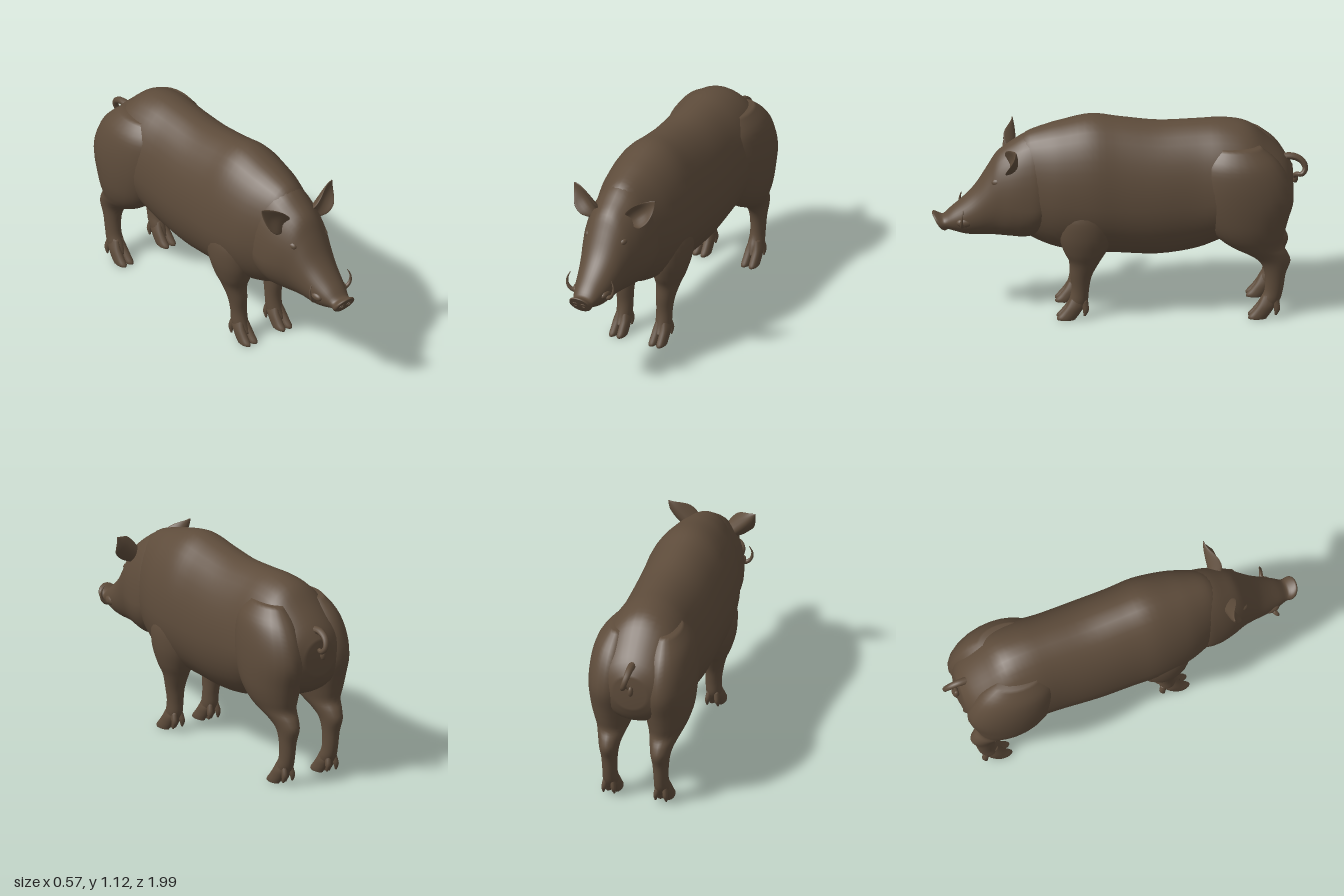
import * as THREE from 'three';

const hide = new THREE.MeshStandardMaterial({ color: 0x5e4c3b });
hide.name = 'brown hide';

// Catmull-Rom interpolation of every column in a table of cross-sections
function smoothRows(rows, steps) {
  const out = [];
  for (let i = 0; i < rows.length - 1; i++) {
    const [a, b, c, d] = [-1, 0, 1, 2].map(k => rows[Math.min(Math.max(i + k, 0), rows.length - 1)]);
    for (let s = 0; s < steps; s++) {
      const t = s / steps;
      out.push(b.map((_, j) => 0.5 * (2 * b[j] + (c[j] - a[j]) * t
        + (2 * a[j] - 5 * b[j] + 4 * c[j] - d[j]) * t * t
        + (3 * b[j] - a[j] - 3 * c[j] + d[j]) * t * t * t)));
    }
  }
  out.push(rows[rows.length - 1]);
  return out;
}

// Closed skin over cross-sections; point(row, angle) returns [x, y, z]
function loft(table, sides, point, steps = 4) {
  const rows = smoothRows(table, steps), pos = [], idx = [];
  for (const row of rows)
    for (let j = 0; j < sides; j++) pos.push(...point(row, (j / sides) * Math.PI * 2));
  const ring = (i, j) => i * sides + (j % sides);
  const last = rows.length - 1;
  for (let i = 0; i < last; i++)
    for (let j = 0; j < sides; j++)
      idx.push(ring(i, j), ring(i, j + 1), ring(i + 1, j), ring(i + 1, j), ring(i, j + 1), ring(i + 1, j + 1));
  for (const end of [0, last]) {
    const c = [0, 0, 0], n = pos.length / 3;
    for (let j = 0; j < sides; j++)
      for (let k = 0; k < 3; k++) c[k] += pos[ring(end, j) * 3 + k] / sides;
    pos.push(...c);
    for (let j = 0; j < sides; j++)
      idx.push(n, ...(end ? [ring(end, j), ring(end, j + 1)] : [ring(end, j + 1), ring(end, j)]));
  }
  // Turn the skin outward if its signed volume is negative
  const v = i => new THREE.Vector3().fromArray(pos, i * 3);
  let volume = 0;
  for (let i = 0; i < idx.length; i += 3) volume += v(idx[i]).dot(v(idx[i + 1]).cross(v(idx[i + 2])));
  if (volume < 0) idx.reverse();
  const geo = new THREE.BufferGeometry();
  geo.setAttribute('position', new THREE.Float32BufferAttribute(pos, 3));
  geo.setIndex(idx);
  geo.computeVertexNormals();
  return geo;
}

// Tube that narrows to its end
function taperedTube(points, r, endScale) {
  const curve = new THREE.CatmullRomCurve3(points.map(p => new THREE.Vector3(...p)));
  const geo = new THREE.TubeGeometry(curve, 28, r, 10);
  const p = geo.attributes.position, v = new THREE.Vector3();
  for (let i = 0; i < p.count; i++) {
    const t = Math.floor(i / 11) / 28;
    v.fromBufferAttribute(p, i).lerp(curve.getPointAt(t), (1 - endScale) * t);
    p.setXYZ(i, v.x, v.y, v.z);
  }
  geo.computeVertexNormals();
  return geo;
}

// Section across z: [z, bottom, top, halfWidth, widestHeight, tilt]
const trunkPoint = ([z, bottom, top, w, mid, tilt], a) => {
  const s = Math.sin(a), y = mid + s * (s > 0 ? top - mid : mid - bottom);
  return [w * Math.cos(a), y, z + tilt * (y - mid)];
};
// Section across y: [y, x, z, radiusX, radiusZ]
const limbPoint = side => ([y, x, z, rx, rz], a) => [side * (x + rx * Math.cos(a)), y, z + rz * Math.sin(a)];

export function createModel() {
  const model = new THREE.Group();
  const add = (name, geo, parent = model) => {
    const mesh = new THREE.Mesh(geo, hide);
    mesh.name = name;
    parent.add(mesh);
    return mesh;
  };
  const blob = (name, p, scale) => {
    const mesh = add(name, new THREE.SphereGeometry(1, 20, 14));
    mesh.position.set(...p);
    mesh.scale.set(...scale);
    return mesh;
  };

  add('body', loft([
    [0.56, 0.50, 0.96, 0.11, 0.72, 0], [0.50, 0.45, 1.025, 0.16, 0.72, 0],
    [0.40, 0.40, 1.063, 0.205, 0.70, 0], [0.30, 0.37, 1.09, 0.235, 0.69, 0],
    [0.15, 0.35, 1.12, 0.254, 0.68, 0], [0.00, 0.34, 1.10, 0.250, 0.67, 0],
    [-0.20, 0.33, 1.075, 0.250, 0.67, 0], [-0.40, 0.36, 1.08, 0.245, 0.68, 0],
    [-0.55, 0.42, 1.083, 0.255, 0.70, 0], [-0.68, 0.45, 1.055, 0.252, 0.70, 0],
    [-0.78, 0.48, 0.97, 0.235, 0.70, 0], [-0.87, 0.53, 0.88, 0.185, 0.70, 0],
    [-0.915, 0.62, 0.81, 0.09, 0.71, 0],
  ], 40, trunkPoint));

  add('head', loft([
    [0.32, 0.54, 0.97, 0.15, 0.68, 0], [0.42, 0.465, 1.035, 0.192, 0.66, 0],
    [0.50, 0.44, 1.02, 0.192, 0.65, 0], [0.58, 0.443, 0.97, 0.175, 0.66, 0],
    [0.65, 0.447, 0.915, 0.148, 0.66, 0], [0.70, 0.45, 0.835, 0.13, 0.63, 0],
    [0.76, 0.45, 0.735, 0.113, 0.59, 0], [0.82, 0.455, 0.665, 0.098, 0.56, 0],
    [0.88, 0.47, 0.605, 0.078, 0.54, 0.1], [0.925, 0.48, 0.558, 0.06, 0.525, 0.4],
    [0.955, 0.473, 0.577, 0.063, 0.525, 0.6], [0.968, 0.477, 0.573, 0.058, 0.525, 0.6],
  ], 36, trunkPoint));

  // Curled tail with a tuft
  add('tail', taperedTube([
    [0, 0.86, -0.85], [0, 0.862, -0.92], [0.005, 0.835, -0.967], [0.015, 0.795, -0.982],
    [0.025, 0.768, -0.962], [0.02, 0.768, -0.935], [0, 0.75, -0.925], [-0.01, 0.715, -0.93],
  ], 0.022, 0.45));
  blob('tailTuft', [-0.008, 0.735, -0.928], [0.015, 0.03, 0.017]);

  for (const side of [1, -1]) {
    const tag = side > 0 ? 'left' : 'right';
    const skin = limbPoint(side);

    add(tag + 'FrontLeg', loft([
      [0.74, 0.14, 0.16, 0.06, 0.09], [0.62, 0.155, 0.18, 0.092, 0.14], [0.50, 0.15, 0.185, 0.097, 0.145],
      [0.40, 0.138, 0.19, 0.085, 0.115], [0.33, 0.13, 0.193, 0.064, 0.08], [0.25, 0.122, 0.21, 0.05, 0.058],
      [0.17, 0.117, 0.215, 0.043, 0.047], [0.10, 0.117, 0.225, 0.042, 0.05], [0.05, 0.117, 0.25, 0.035, 0.045],
    ], 24, skin));

    add(tag + 'HindLeg', loft([
      [0.98, 0.13, -0.62, 0.06, 0.12], [0.90, 0.14, -0.63, 0.11, 0.20], [0.80, 0.145, -0.65, 0.133, 0.24],
      [0.68, 0.148, -0.665, 0.138, 0.25], [0.56, 0.148, -0.67, 0.130, 0.215], [0.48, 0.148, -0.685, 0.112, 0.18],
      [0.42, 0.145, -0.715, 0.09, 0.14], [0.37, 0.143, -0.775, 0.068, 0.108], [0.32, 0.142, -0.815, 0.053, 0.082],
      [0.25, 0.142, -0.817, 0.043, 0.056], [0.16, 0.142, -0.81, 0.039, 0.049],
      [0.10, 0.142, -0.79, 0.042, 0.053], [0.05, 0.142, -0.765, 0.036, 0.045],
    ], 24, skin));

    // Cloven hooves and dewclaws
    for (const [part, x, z] of [['Front', 0.118, 0.225], ['Hind', 0.144, -0.787]])
      for (const toe of [1, -1]) {
        add(tag + part + 'Hoof', loft([
          [0.13, x + toe * 0.012, z, 0.02, 0.034], [0.08, x + toe * 0.02, z + 0.015, 0.025, 0.045],
          [0.04, x + toe * 0.022, z + 0.04, 0.025, 0.05], [0.012, x + toe * 0.023, z + 0.062, 0.024, 0.052],
          [0, x + toe * 0.023, z + 0.066, 0.022, 0.048],
        ], 14, skin));
        add(tag + part + 'Dewclaw', loft([
          [0.11, x + toe * 0.018, z - 0.025, 0.014, 0.02], [0.06, x + toe * 0.026, z - 0.038, 0.014, 0.018],
          [0.022, x + toe * 0.03, z - 0.032, 0.004, 0.006],
        ], 10, skin));
      }

    // Cupped ear: rows run from root to tip, [x, y, z, halfWidth, thickness]
    add(tag + 'Ear', loft([
      [0.105, 0.875, 0.565, 0.045, 0.022], [0.135, 0.90, 0.565, 0.058, 0.02],
      [0.175, 0.938, 0.56, 0.058, 0.013], [0.208, 0.974, 0.56, 0.038, 0.009], [0.24, 1.012, 0.562, 0.003, 0.003],
    ], 20, ([x, y, z, w, t], a) => {
      const d = w * Math.cos(a);
      return [side * (x + 0.7 * d), y - 0.7 * d, z + t * Math.sin(a) + 14 * d * d];
    }));

    add(tag + 'Tusk', taperedTube([
      [0.075, 0.54, 0.83], [0.108, 0.535, 0.84], [0.132, 0.56, 0.845], [0.137, 0.598, 0.842], [0.122, 0.636, 0.835],
    ].map(([x, y, z]) => [side * x, y, z]), 0.015, 0.1));

    blob(tag + 'Lip', [side * 0.083, 0.545, 0.825], [0.022, 0.025, 0.045]);
    blob(tag + 'Brow', [side * 0.103, 0.785, 0.645], [0.022, 0.025, 0.04]);
    blob(tag + 'Eye', [side * 0.108, 0.762, 0.662], [0.014, 0.013, 0.016]);

    // Raised nostril rim on the tilted snout disc
    const rim = add(tag + 'Nostril', new THREE.TorusGeometry(0.013, 0.004, 8, 18));
    rim.position.set(side * 0.024, 0.526, 0.969);
    rim.rotation.x = Math.atan(0.6);
  }
  return model;
}
